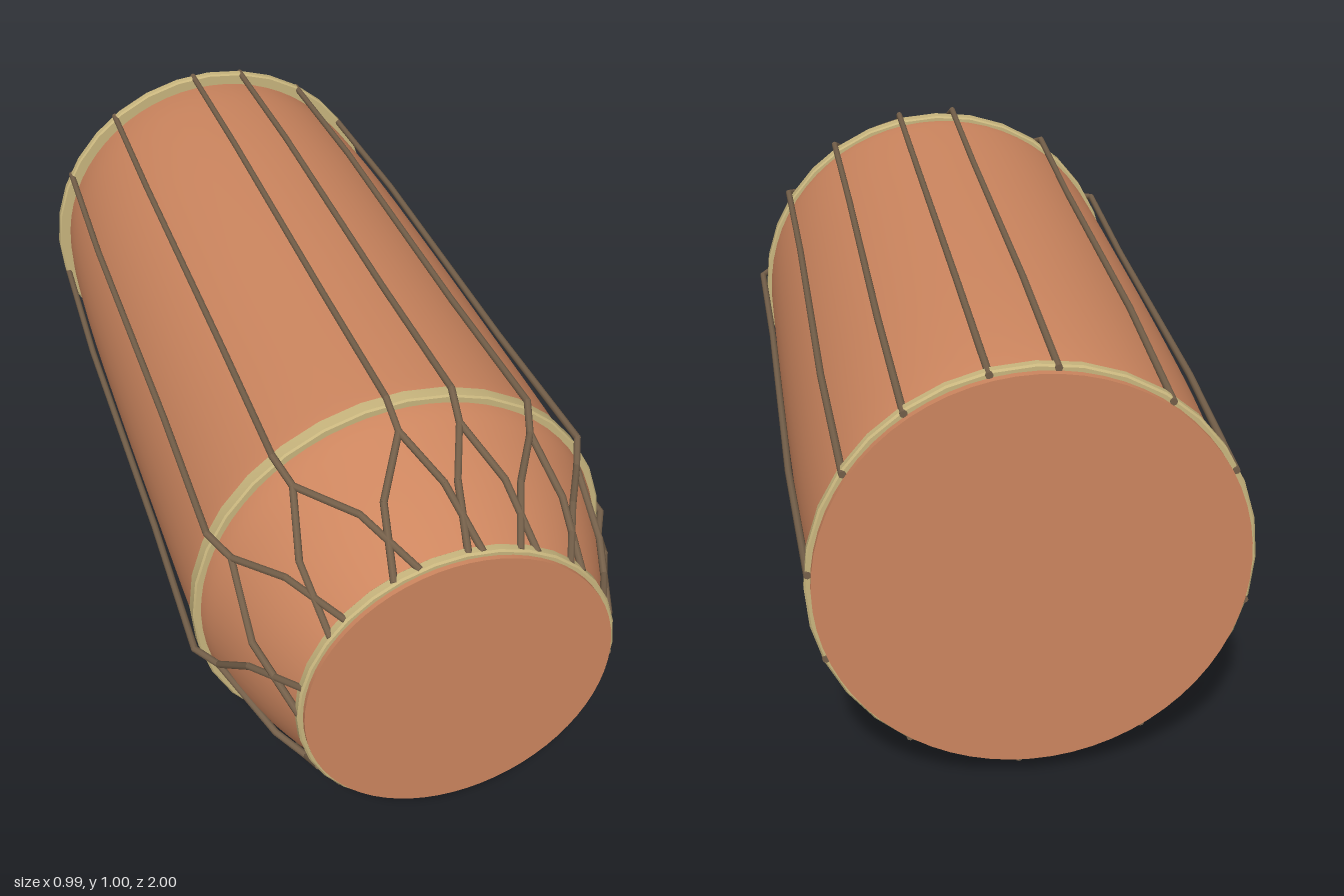
import * as THREE from 'three';
import { toCreasedNormals } from 'three/addons/utils/BufferGeometryUtils.js';

const wood = new THREE.MeshStandardMaterial({ name: 'terracotta wood', color: 0xcd865f });
const cane = new THREE.MeshStandardMaterial({ name: 'pale cane', color: 0xc9b67e });
const cord = new THREE.MeshStandardMaterial({ name: 'brown cord', color: 0x75604a });

const AXIS_Y = 0.503;
const CORD_R = 0.008;

// Lathe around the z axis from [radius, z] pairs running back to front
function turned(name, profile, segments, material, crease) {
  const geo = new THREE.LatheGeometry(profile.map(([r, z]) => new THREE.Vector2(r, z)), segments);
  geo.rotateX(Math.PI / 2);
  const mesh = new THREE.Mesh(toCreasedNormals(geo, crease), material);
  mesh.name = name;
  return mesh;
}

// Hoop with a chamfered rectangular section
function hoop(name, inner, outer, z, width) {
  const h = width / 2, c = 0.004;
  return turned(name, [
    [inner, z - h], [outer - c, z - h], [outer, z - h + c],
    [outer, z + h - c], [outer - c, z + h], [inner, z + h], [inner, z - h],
  ], 32, cane, 0.5);
}

const polar = (deg, r, z) => {
  const a = THREE.MathUtils.degToRad(deg);
  return new THREE.Vector3(r * Math.cos(a), r * Math.sin(a), z);
};

// Straight cord pieces joined at the bends
function cordRun(name, points) {
  const run = new THREE.Group();
  run.name = name;
  for (let i = 0; i < points.length - 1; i++) {
    const dir = points[i + 1].clone().sub(points[i]);
    const geo = new THREE.CylinderGeometry(CORD_R, CORD_R, dir.length() + 0.004, 8);
    const piece = new THREE.Mesh(geo, cord);
    piece.name = 'cordPiece';
    piece.position.copy(points[i]).addScaledVector(dir, 0.5);
    piece.quaternion.setFromUnitVectors(new THREE.Vector3(0, 1, 0), dir.normalize());
    run.add(piece);
  }
  return run;
}

export function createModel() {
  const model = new THREE.Group();
  model.name = 'drum';
  const drum = new THREE.Group();
  drum.name = 'drumAssembly';
  drum.position.y = AXIS_Y;
  model.add(drum);

  // Barrel shell, narrowing sharply to the front and gently to the back
  const shell = new THREE.SplineCurve([
    [0.43, -0.975], [0.445, -0.85], [0.458, -0.6], [0.466, -0.2], [0.47, 0.2],
    [0.472, 0.5], [0.468, 0.62], [0.443, 0.71], [0.4, 0.83], [0.335, 0.98],
  ].map(([r, z]) => new THREE.Vector2(r, z))).getPoints(36).map((p) => [p.x, p.y]);
  drum.add(turned('shell', shell, 64, wood, 1));

  // Drum heads
  drum.add(turned('frontHead', [[0, 0.965], [0.343, 0.965], [0.343, 1], [0, 1]], 64, wood, 0.6));
  drum.add(turned('backHead', [[0, -1], [0.45, -1], [0.45, -0.965], [0, -0.965]], 64, wood, 0.6));

  // Cane hoops
  drum.add(hoop('frontHoop', 0.335, 0.355, 0.977, 0.024));
  drum.add(hoop('shoulderHoop', 0.455, 0.483, 0.618, 0.036));
  drum.add(hoop('backHoop', 0.43, 0.463, -0.972, 0.024));

  // Tension cords, each forking into a laced Y on the front shoulder
  const angles = [-167.3, -121.3, -87, -56, -21.6, 4.1, 33.8, 55.5, 78.2, 95.2, 126.4, 153.2];
  const n = angles.length;
  angles.forEach((a, i) => {
    drum.add(cordRun('tensionCord', [
      polar(a, 0.456, -0.985), polar(a, 0.474, -0.55), polar(a, 0.482, 0.2),
      polar(a, 0.494, 0.625), polar(a, 0.456, 0.695),
    ]));
    const gaps = [
      (i === n - 1 ? angles[0] + 360 : angles[i + 1]) - a,
      (i === 0 ? angles[n - 1] - 360 : angles[i - 1]) - a,
    ];
    for (const gap of gaps) {
      drum.add(cordRun('laceCord', [
        polar(a, 0.456, 0.695), polar(a + gap * 0.38, 0.412, 0.83), polar(a + gap * 0.65, 0.35, 0.98),
      ]));
    }
  });
  return model;
}
